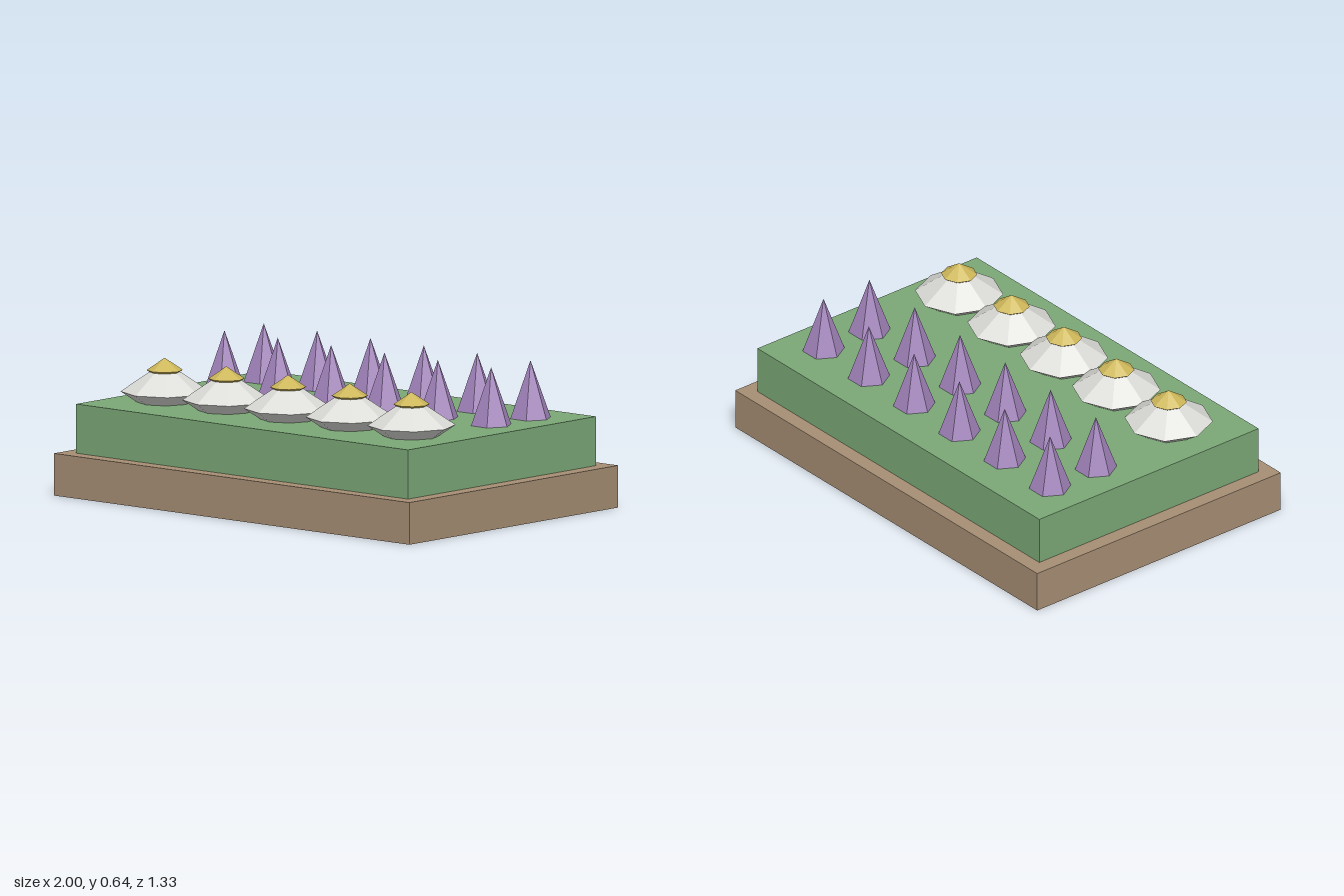
import * as THREE from 'three';

const flat = (name, color) => {
  const m = new THREE.MeshStandardMaterial({ color, flatShading: true });
  m.name = name;
  return m;
};

export function createModel() {
  const soil = flat('soil brown', 0xa68e74);
  const grass = flat('grass green', 0x7ba877);
  const purple = flat('purple', 0xa183ba);
  const petal = flat('petal white', 0xdcdcd8);
  const gold = flat('gold', 0xcdb75a);

  const model = new THREE.Group();
  model.name = 'flowerBed';

  const add = (parent, name, geometry, material, x, y, z) => {
    const mesh = new THREE.Mesh(geometry, material);
    mesh.name = name;
    mesh.position.set(x, y, z);
    parent.add(mesh);
    return mesh;
  };

  // Stepped base
  add(model, 'base', new THREE.BoxGeometry(2, 0.18, 1.333), soil, 0, 0.09, 0);
  add(model, 'lawn', new THREE.BoxGeometry(1.867, 0.21, 1.2), grass, 0, 0.285, 0);

  // Two rows of six-sided spikes, corners pointing along x
  const spike = new THREE.ConeGeometry(0.09, 0.247, 6).rotateY(Math.PI / 6);
  for (const z of [-0.139, -0.39]) {
    for (let i = 0; i < 6; i++) {
      add(model, 'spike', spike, purple, (i - 2.5) * 0.3, 0.5125, z);
    }
  }

  // Row of flowers: flattened eight-sided double pyramids
  const doublePyramid = (r) => new THREE.SphereGeometry(r, 8, 2).scale(1, 0.67, 1);
  const petals = doublePyramid(0.187);
  const heart = doublePyramid(0.077);
  for (let i = 0; i < 5; i++) {
    const flower = new THREE.Group();
    flower.name = 'flower';
    flower.position.set((i - 2) * 0.347, 0.436, 0.306);
    add(flower, 'petals', petals, petal, 0, 0, 0);
    add(flower, 'flowerHeart', heart, gold, 0, 0.09, 0);
    model.add(flower);
  }
  return model;
}
